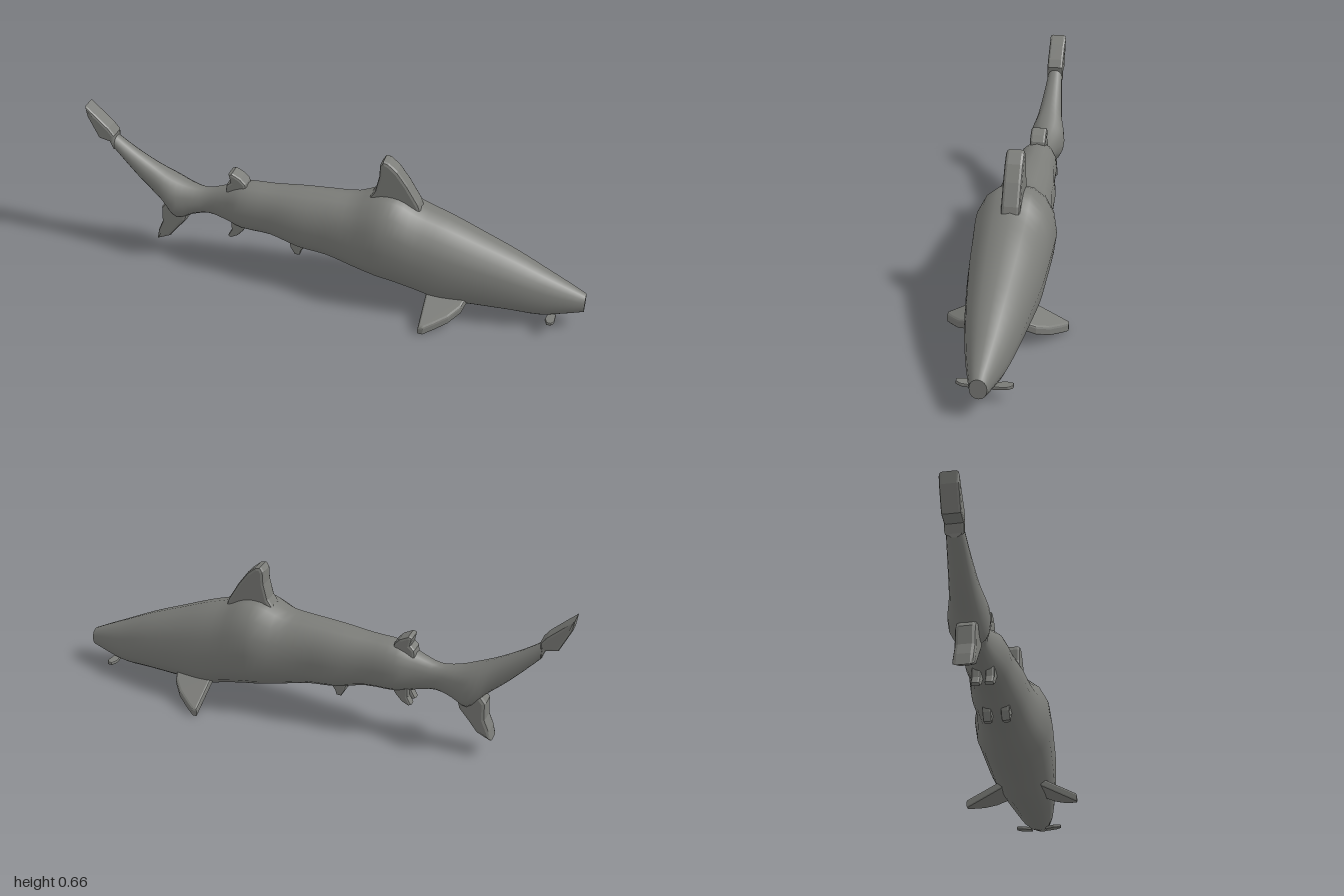
import * as THREE from 'three';

const skin = new THREE.MeshStandardMaterial({ color: 0x7b7c78 });
skin.name = 'grey skin';

// Body stations, nose to tail: top x, top y, bottom x, bottom y, half width
const STATIONS = [
  [1.0, 0.155, 1.0, 0.08, 0.03],
  [0.93, 0.19, 0.92, 0.058, 0.052],
  [0.85, 0.228, 0.84, 0.04, 0.073],
  [0.72, 0.29, 0.72, 0.043, 0.1],
  [0.58, 0.348, 0.58, 0.042, 0.122],
  [0.46, 0.397, 0.46, 0.04, 0.138],
  [0.35, 0.435, 0.35, 0.07, 0.147],
  [0.27, 0.475, 0.27, 0.088, 0.153],
  [0.2, 0.477, 0.2, 0.102, 0.153],
  [0.1, 0.437, 0.1, 0.125, 0.129],
  [0.0, 0.43, 0.0, 0.15, 0.112],
  [-0.12, 0.422, -0.12, 0.165, 0.106],
  [-0.24, 0.412, -0.24, 0.197, 0.087],
  [-0.36, 0.405, -0.36, 0.203, 0.08],
  [-0.44, 0.375, -0.43, 0.222, 0.056],
  [-0.52, 0.35, -0.51, 0.24, 0.042],
  [-0.59, 0.36, -0.58, 0.225, 0.058],
  [-0.66, 0.388, -0.64, 0.2, 0.075],
  [-0.74, 0.43, -0.7, 0.265, 0.056],
  [-0.83, 0.487, -0.79, 0.352, 0.042],
  [-0.905, 0.543, -0.895, 0.47, 0.03],
];

// Lofts rounded sections between a top line and a bottom line
function bodyGeometry() {
  const SIDES = 16, RINGS = 60;
  const topLine = new THREE.CatmullRomCurve3(STATIONS.map((s) => new THREE.Vector3(s[0], s[1], s[4])));
  const bottomLine = new THREE.CatmullRomCurve3(STATIONS.map((s) => new THREE.Vector3(s[2], s[3], s[4])));
  const pos = [], index = [];
  const round = (v) => Math.sign(v) * Math.pow(Math.abs(v), 0.93);
  for (let i = 0; i <= RINGS; i++) {
    const t = topLine.getPoint(i / RINGS), b = bottomLine.getPoint(i / RINGS);
    for (let j = 0; j < SIDES; j++) {
      const a = (j / SIDES) * Math.PI * 2;
      const k = (round(Math.sin(a)) + 1) / 2;
      pos.push(b.x + (t.x - b.x) * k, b.y + (t.y - b.y) * k, t.z * round(Math.cos(a)));
    }
  }
  for (let i = 0; i < RINGS; i++) {
    for (let j = 0; j < SIDES; j++) {
      const a = i * SIDES + j, b = i * SIDES + ((j + 1) % SIDES);
      index.push(a, b, a + SIDES, b, b + SIDES, a + SIDES);
    }
  }
  // Flat end caps with their own corners
  for (const ring of [0, RINGS]) {
    const start = pos.length / 3;
    for (let j = 0; j < SIDES; j++) {
      const p = (ring * SIDES + j) * 3;
      pos.push(pos[p], pos[p + 1], pos[p + 2]);
    }
    for (let j = 1; j < SIDES - 1; j++) {
      if (ring === 0) index.push(start, start + j + 1, start + j);
      else index.push(start, start + j, start + j + 1);
    }
  }
  const geo = new THREE.BufferGeometry();
  geo.setAttribute('position', new THREE.Float32BufferAttribute(pos, 3));
  geo.setIndex(index);
  geo.computeVertexNormals();
  return geo;
}

// Thick fin with chamfered rim, centred on its own mid plane
function slab(points, thickness, bevel) {
  const shape = new THREE.Shape(points.map(([x, y]) => new THREE.Vector2(x, y)));
  const geo = new THREE.ExtrudeGeometry(shape, {
    depth: thickness - 2 * bevel, bevelEnabled: true, bevelThickness: bevel,
    bevelSize: bevel, bevelOffset: -bevel, bevelSegments: 2,
  });
  return geo.translate(0, 0, -(thickness - 2 * bevel) / 2);
}

// Lays a fin flat (outline y becomes z) and slopes it down away from the body
function flatFin(points, thickness, bevel, side, rootZ, rootY, slope) {
  const geo = slab(points.map(([x, z]) => [x, z * side]), thickness, bevel);
  geo.rotateX(Math.PI / 2);
  const p = geo.attributes.position;
  for (let i = 0; i < p.count; i++) {
    p.setY(i, p.getY(i) + rootY - (Math.abs(p.getZ(i)) - rootZ) * slope);
  }
  geo.computeVertexNormals();
  return geo;
}

export function createModel() {
  const model = new THREE.Group();
  const add = (name, geo) => {
    const mesh = new THREE.Mesh(geo, skin);
    mesh.name = name;
    model.add(mesh);
    return mesh;
  };

  add('body', bodyGeometry());

  // Fins on the centre line
  add('dorsalFin', slab([[0.14, 0.43], [0.175, 0.485], [0.19, 0.55], [0.192, 0.6], [0.205, 0.62],
    [0.225, 0.615], [0.26, 0.585], [0.3, 0.53], [0.345, 0.455], [0.36, 0.41]], 0.07, 0.012));
  add('rearDorsalFin', slab([[-0.43, 0.36], [-0.425, 0.4], [-0.408, 0.415], [-0.415, 0.45], [-0.4, 0.456],
    [-0.365, 0.437], [-0.345, 0.415], [-0.335, 0.37]], 0.066, 0.01));
  add('tailTip', slab([[-1, 0.66], [-0.965, 0.628], [-0.91, 0.575], [-0.888, 0.545], [-0.895, 0.48],
    [-0.91, 0.515], [-0.955, 0.525], [-0.975, 0.57], [-0.995, 0.615]], 0.07, 0.01));
  add('lowerTailLobe', slab([[-0.6, 0.23], [-0.61, 0.195], [-0.645, 0.155], [-0.685, 0.105], [-0.745, 0.08],
    [-0.735, 0.125], [-0.715, 0.17], [-0.712, 0.24], [-0.68, 0.28]], 0.075, 0.014));

  // Paired fins
  for (const side of [1, -1]) {
    const label = side > 0 ? 'left' : 'right';
    add(label + 'PectoralFin', flatFin([[0.405, 0.08], [0.405, 0.227], [0.425, 0.227], [0.46, 0.205],
      [0.51, 0.17], [0.55, 0.125], [0.565, 0.08]], 0.036, 0.008, side, 0.11, 0.08, 0.53));
    add(label + 'SnoutFin', flatFin([[0.87, 0.03], [0.863, 0.07], [0.872, 0.098], [0.89, 0.098],
      [0.9, 0.08], [0.9, 0.03]], 0.014, 0.004, side, 0.06, 0.058, -0.1));

    const pelvic = add(label + 'PelvicFin', slab([[-0.165, 0.21], [-0.16, 0.17], [-0.142, 0.138], [-0.122, 0.138],
      [-0.115, 0.16], [-0.085, 0.2]], 0.034, 0.008));
    pelvic.position.z = side * 0.035;
    const anal = add(label + 'AnalFin', slab([[-0.41, 0.235], [-0.41, 0.195], [-0.427, 0.165], [-0.415, 0.157],
      [-0.385, 0.172], [-0.36, 0.2], [-0.34, 0.235]], 0.034, 0.008));
    anal.position.z = side * 0.025;
  }
  return model;
}
